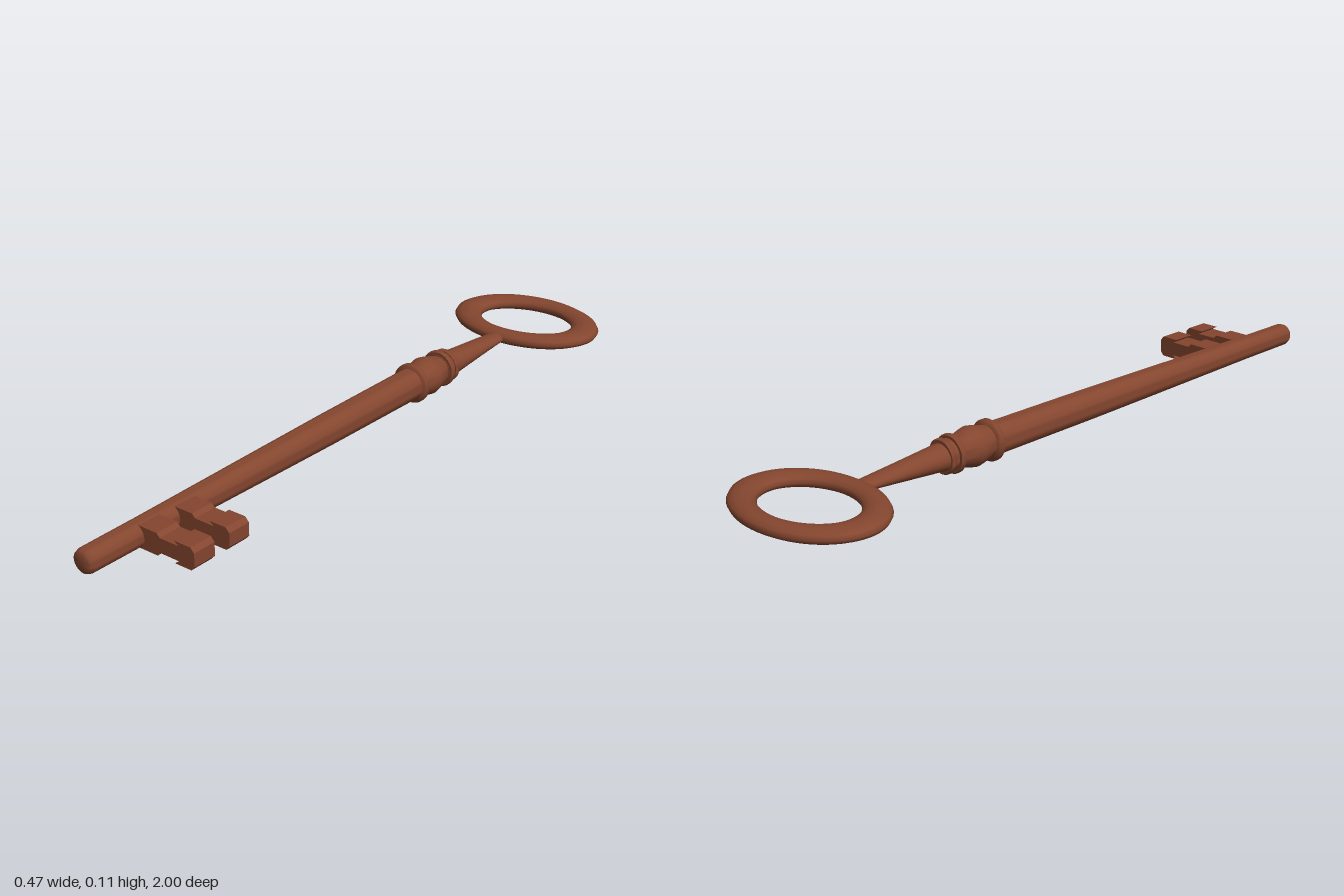
import * as THREE from 'three';
import { mergeVertices, toCreasedNormals } from 'three/addons/utils/BufferGeometryUtils.js';

const CENTER_Y = 0.057;

export function createModel() {
  const group = new THREE.Group();
  const rust = new THREE.MeshStandardMaterial({ color: 0x84462f });
  rust.name = 'rustedIron';

  const add = (name, geometry) => {
    const mesh = new THREE.Mesh(geometry, rust);
    mesh.name = name;
    mesh.position.y = CENTER_Y;
    group.add(mesh);
  };

  // Turned part along z, from [radius, z] pairs in rising z
  const turned = (name, points, crease = 0.7) => {
    const profile = points.map(([r, z]) => new THREE.Vector2(r, z));
    const geometry = new THREE.LatheGeometry(profile, 32).rotateX(Math.PI / 2);
    add(name, toCreasedNormals(geometry, crease));
  };

  // Move every vertex by a rule, then smooth the surface again
  const reshape = (geometry, rule) => {
    const p = geometry.attributes.position;
    const v = new THREE.Vector3();
    for (let i = 0; i < p.count; i++) {
      rule(v.fromBufferAttribute(p, i));
      p.setXYZ(i, v.x, v.y, v.z);
    }
    geometry.deleteAttribute('uv');
    geometry.deleteAttribute('normal');
    const merged = mergeVertices(geometry, 1e-5);
    merged.computeVertexNormals();
    return merged;
  };

  // Long tapering stem with a softened tip
  turned('stem', [[0, -0.25], [0.045, -0.25], [0.043, 0.12], [0.040, 0.36], [0.034, 0.8],
    [0.033, 0.985], [0.029, 0.996], [0.022, 1], [0, 1]], 1.2);

  // Collar: disc, swelling and two thin rings
  turned('collarDisc', [[0, -0.26], [0.052, -0.26], [0.057, -0.255], [0.057, -0.245],
    [0.052, -0.24], [0, -0.24]], 0.9);
  turned('collarSwelling', [[0.038, -0.375], [0.042, -0.365], [0.052, -0.328], [0.055, -0.312],
    [0.052, -0.295], [0.043, -0.26]]);
  for (const [z, r] of [[-0.38, 0.053], [-0.408, 0.048]]) {
    turned('collarRing', [[0, z - 0.008], [r - 0.003, z - 0.008], [r, z - 0.004],
      [r, z + 0.004], [r - 0.003, z + 0.008], [0, z + 0.008]], 0.9);
  }
  turned('collarNeck', [[0.042, -0.41], [0.043, -0.37]]);

  // Neck flattening towards the bow
  const neck = new THREE.CylinderGeometry(1, 1, 1, 24, 4, true).rotateX(Math.PI / 2);
  add('bowNeck', reshape(neck, (v) => {
    const t = v.z + 0.5;
    v.x *= THREE.MathUtils.lerp(0.026, 0.041, t);
    v.y *= THREE.MathUtils.lerp(0.012, 0.038, t);
    v.z = THREE.MathUtils.lerp(-0.685, -0.4, t);
  }));

  // Oval bow, wider at the sides than at the ends
  const bow = new THREE.TorusGeometry(1, 0.5, 12, 64).rotateX(Math.PI / 2);
  add('bow', reshape(bow, (v) => {
    const length = Math.hypot(v.x, v.z);
    const c = (length - 1) / 0.5;
    v.x = (v.x / length) * (0.189 + 0.044 * c);
    v.z = -0.83 + (v.z / length) * (0.1385 + 0.0315 * c);
    v.y *= 0.02 / 0.5;
  }));

  // Two notched teeth
  const upper = [[0.01, 0.03], [0.075, 0.03], [0.085, 0.02], [0.145, 0.02], [0.131, 0.03],
    [0.182, 0.03], [0.193, 0.018]];
  const lower = upper.map(([x, y]) => [x, -y]).reverse();
  const outline = new THREE.Shape([...upper, ...lower].map(([x, y]) => new THREE.Vector2(x, y)));
  for (const z of [0.647, 0.765]) {
    const tooth = new THREE.ExtrudeGeometry(outline, { depth: 0.068, bevelEnabled: false });
    add('tooth', tooth.translate(0, 0, z));
  }

  return group;
}
